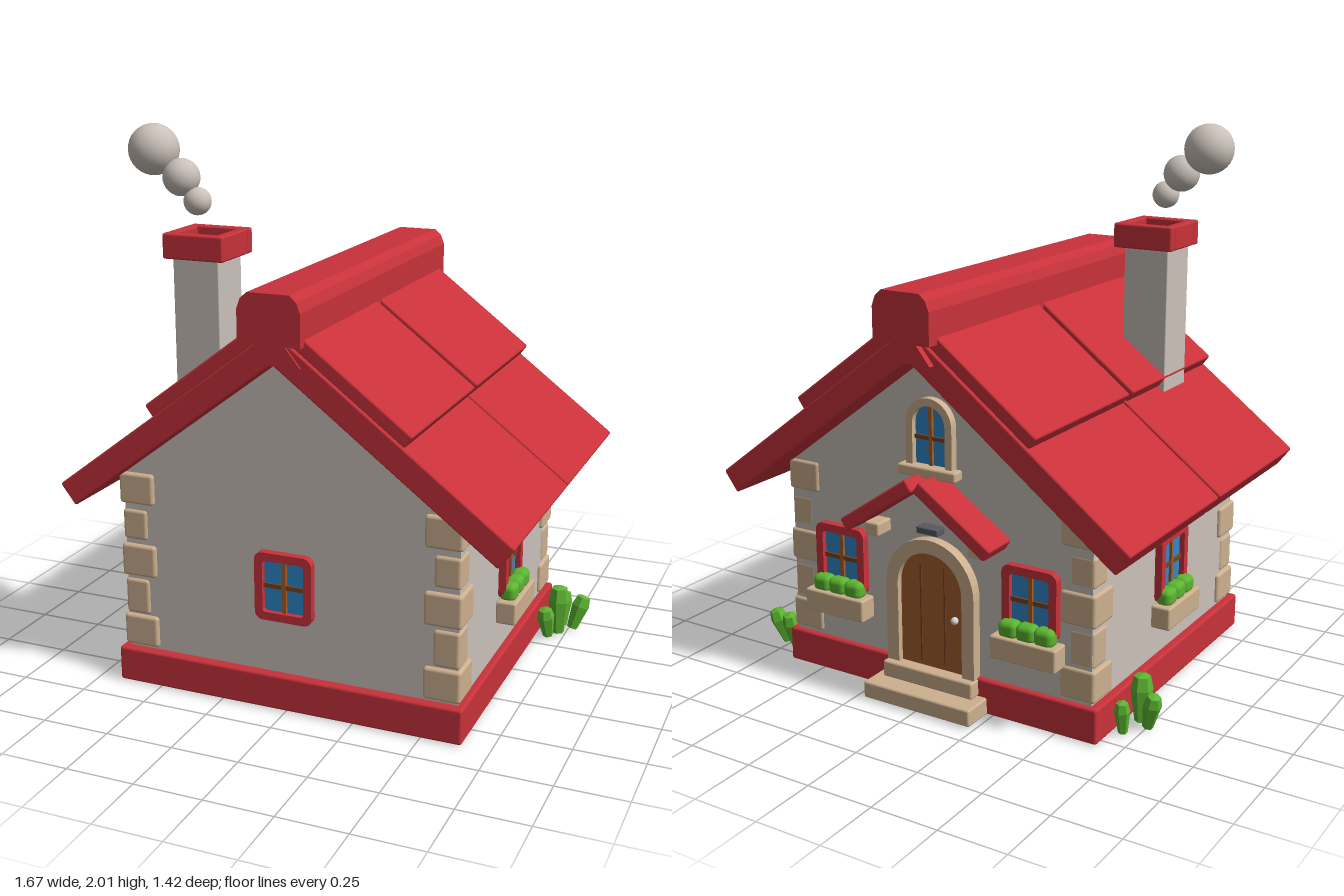
import * as THREE from 'three';
import { RoundedBoxGeometry } from 'three/addons/geometries/RoundedBoxGeometry.js';

const mat = (name, color) => Object.assign(new THREE.MeshStandardMaterial({ color }), { name });
const red = mat('red paint', 0xc8323a);
const plaster = mat('plaster', 0xcac1b9);
const stone = mat('sand stone', 0xcdb08f);
const green = mat('leaf green', 0x5cb531);
const glass = mat('window blue', 0x2f88c9);
const brown = mat('door wood', 0xa3602c);
const darkWood = mat('dark wood', 0x7a4420);
const soot = mat('soot grey', 0x555a60);
const metal = mat('pale metal', 0xd8d8d8);

const CX = -0.006; // house centre line
const BACK = -0.53, FRONT = 0.595; // gable wall planes
const PITCH = 0.648;

function add(parent, name, geometry, material, x = 0, y = 0, z = 0) {
  const m = new THREE.Mesh(geometry, material);
  m.name = name;
  m.position.set(x, y, z);
  parent.add(m);
  return m;
}

// Softened box given by its limits
function block(parent, name, material, [x0, x1], [y0, y1], [z0, z1], r = 0.008) {
  const g = new RoundedBoxGeometry(x1 - x0, y1 - y0, z1 - z0, 2, r);
  return add(parent, name, g, material, (x0 + x1) / 2, (y0 + y1) / 2, (z0 + z1) / 2);
}

const extrude = (shape, depth) =>
  new THREE.ExtrudeGeometry(shape, { depth, bevelEnabled: false, curveSegments: 12 });

function poly(points) {
  return new THREE.Shape(points.map(([x, y]) => new THREE.Vector2(x, y)));
}

function roundRect(w, h, r) {
  const s = new THREE.Shape(), a = w / 2, b = h / 2;
  s.moveTo(a, b - r).absarc(a - r, b - r, r, 0, Math.PI / 2)
    .absarc(r - a, b - r, r, Math.PI / 2, Math.PI)
    .absarc(r - a, r - b, r, Math.PI, Math.PI * 1.5)
    .absarc(a - r, r - b, r, Math.PI * 1.5, Math.PI * 2);
  s.closePath();
  return s;
}

function arch(halfWidth, height) {
  const s = new THREE.Shape();
  s.moveTo(-halfWidth, 0).lineTo(halfWidth, 0);
  s.absarc(0, height - halfWidth, halfWidth, 0, Math.PI);
  s.closePath();
  return s;
}

function withHole(outer, inner) {
  outer.holes.push(inner);
  return outer;
}

// Sloping slab that runs outward from a ridge point; side is +1 or -1
function slab(parent, name, side, ridgeY, start, length, lift, thick, [z0, z1], pitch) {
  const g = new RoundedBoxGeometry(length, thick, z1 - z0, 2, 0.008);
  g.translate(side * (start + length / 2), lift + thick / 2, 0);
  g.rotateZ(-side * pitch);
  add(parent, name, g, red, CX, ridgeY, (z0 + z1) / 2);
}

// Framed window that faces +z, with an optional planter
function makeWindow(planter) {
  const g = new THREE.Group();
  g.name = 'window';
  add(g, 'windowFrame', extrude(withHole(roundRect(0.215, 0.25, 0.03), roundRect(0.155, 0.19, 0.012)), 0.03), red);
  add(g, 'windowPane', new THREE.BoxGeometry(0.17, 0.2, 0.008), glass, 0, 0, 0.006);
  add(g, 'verticalBar', new THREE.BoxGeometry(0.016, 0.195, 0.012), brown, 0, 0, 0.014);
  add(g, 'crossBar', new THREE.BoxGeometry(0.16, 0.016, 0.01), darkWood, 0, 0, 0.013);
  if (planter) {
    block(g, 'planterBox', stone, [-0.13, 0.13], [-0.21, -0.125], [0, 0.075]);
    for (const i of [-1, 0, 1])
      block(g, 'planterLeaves', green, [i * 0.07 - 0.038, i * 0.07 + 0.038], [-0.135, -0.07], [0.004, 0.064], 0.022);
  }
  return g;
}

// Faceted upright leaves: [x, z, height, width, leanX, leanZ]
function makeBush(stalks) {
  const g = new THREE.Group();
  g.name = 'bush';
  for (const [x, z, h, r, lx, lz] of stalks) {
    const profile = [[0, 0], [0.6, 0], [1, 0.68], [0.75, 0.95], [0, 1]].map(([a, b]) => new THREE.Vector2(a * r, b * h));
    const geo = new THREE.LatheGeometry(profile, 6).toNonIndexed();
    geo.computeVertexNormals();
    add(g, 'leaf', geo, green, x, 0.004, z).rotation.set(lz, 0, -lx);
  }
  return g;
}

export function createModel() {
  const house = new THREE.Group();
  house.name = 'cottage';

  // Base and gabled walls
  block(house, 'base', red, [-0.665, 0.65], [0, 0.13], [-0.55, 0.63], 0.01);
  const wall = poly([[-0.63, 0.12], [0.63, 0.12], [0.63, 0.81], [0, 1.285], [-0.63, 0.81]]);
  add(house, 'walls', extrude(wall, FRONT - BACK), plaster, CX, 0, BACK);

  // Corner stones, alternately long and short
  const rows = [[0.14, 0.257], [0.262, 0.395], [0.41, 0.53], [0.548, 0.66], [0.685, 0.8]];
  for (const sx of [-1, 1]) for (const sz of [-1, 1]) rows.forEach(([y0, y1], i) => {
    const size = i % 2 ? 0.095 : 0.135, out = i % 2 ? 0.636 : 0.643;
    const zc = 0.037, zOut = out - 0.068;
    const span = (c, s, o) => [c + s * o, c + s * (o - size)].sort((a, b) => a - b);
    block(house, 'cornerStone', stone, span(CX, sx, out), [y0, y1], span(zc, sz, zOut), 0.012);
  });

  // Roof: two layers of panels on each slope
  for (const side of [-1, 1]) {
    for (const z of [[-0.672, 0.002], [0.014, 0.686]])
      slab(house, 'roofPanel', side, 1.27, 0, 0.98, 0, 0.094, z, PITCH);
    for (const z of [[-0.662, -0.008], [0.02, 0.676]])
      slab(house, 'upperRoofPanel', side, 1.27, 0, 0.505, 0.09, 0.052, z, PITCH);
  }
  const cap = poly([[-0.113, 1.34], [0.113, 1.34], [0.113, 1.455], [0.1, 1.49], [0.075, 1.512],
    [-0.075, 1.512], [-0.1, 1.49], [-0.113, 1.455]]);
  add(house, 'ridgeCap', extrude(cap, 1.416), red, CX, 0, -0.709);
  const support = poly([[-0.105, 1.27], [0.105, 1.27], [0.045, 1.345], [-0.045, 1.345]]);
  add(house, 'ridgeSupport', extrude(support, 1.39), red, CX, 0, -0.696);

  // Chimney with a framed top
  const chimney = new THREE.Group();
  chimney.name = 'chimney';
  house.add(chimney);
  block(chimney, 'chimneyStack', plaster, [-0.49, -0.315], [0.95, 1.56], [0.275, 0.45], 0.004);
  add(chimney, 'chimneyOpening', new THREE.BoxGeometry(0.17, 0.008, 0.17), soot, -0.402, 1.563, 0.362);
  for (const z of [0.24, 0.437])
    block(chimney, 'chimneyRim', red, [-0.518, -0.285], [1.55, 1.64], [z, z + 0.038]);
  for (const x of [-0.518, -0.323])
    block(chimney, 'chimneyRim', red, [x, x + 0.038], [1.55, 1.64], [0.277, 0.438]);
  for (const [x, y, r] of [[-0.6, 1.912, 0.09], [-0.495, 1.82, 0.066], [-0.434, 1.74, 0.049]])
    add(house, 'smokePuff', new THREE.SphereGeometry(r, 24, 16), plaster, x, y, 0.363);

  // Windows on all four walls
  const windows = [
    [CX, FRONT, 0, false],
    [CX + 0.628, 0.04, Math.PI / 2, true],
    [CX - 0.628, 0.04, -Math.PI / 2, true],
    [CX + 0.4, BACK, Math.PI, true],
    [CX - 0.4, BACK, Math.PI, true],
  ];
  for (const [x, z, turn, planter] of windows) {
    const w = makeWindow(planter);
    w.position.set(x, 0.46, z);
    w.rotation.y = turn;
    house.add(w);
  }

  // Entrance wall pieces are built facing +z and turned to the rear
  const entrance = new THREE.Group();
  entrance.name = 'entrance';
  entrance.position.set(CX, 0, BACK);
  entrance.rotation.y = Math.PI;
  house.add(entrance);
  add(entrance, 'doorFrame', extrude(withHole(arch(0.185, 0.49), arch(0.135, 0.44)), 0.04), stone, 0, 0.122, 0);
  add(entrance, 'door', extrude(arch(0.14, 0.442), 0.018), brown, 0, 0.122, 0);
  for (const x of [-0.05, 0.05])
    add(entrance, 'plankGroove', new THREE.BoxGeometry(0.006, 0.37, 0.004), darkWood, x, 0.325, 0.018);
  add(entrance, 'doorKnob', new THREE.SphereGeometry(0.014, 12, 8), metal, 0.1, 0.33, 0.03);
  block(entrance, 'lowerStep', stone, [-0.225, 0.225], [0, 0.063], [0, 0.137]);
  block(entrance, 'upperStep', stone, [-0.19, 0.19], [0.063, 0.125], [0, 0.065]);

  // Small porch roof on brackets with a lamp
  for (const side of [-1, 1]) {
    slab(house, 'porchRoof', side, 0.815, 0, 0.345, 0, 0.05, [-0.665, -0.52], 0.6);
    block(entrance, 'porchBracket', stone, [side * 0.215 - 0.03, side * 0.215 + 0.03], [0.6, 0.65], [0, 0.08]);
  }
  block(entrance, 'porchLamp', soot, [-0.045, 0.045], [0.635, 0.66], [0, 0.05], 0.005);

  // Arched attic window
  add(entrance, 'atticFrame', extrude(withHole(arch(0.095, 0.25), arch(0.067, 0.222)), 0.03), stone, 0, 0.87, 0);
  add(entrance, 'atticPane', extrude(arch(0.072, 0.227), 0.008), glass, 0, 0.87, 0);
  add(entrance, 'atticBar', new THREE.BoxGeometry(0.014, 0.22, 0.012), brown, 0, 0.98, 0.012);
  add(entrance, 'atticCrossBar', new THREE.BoxGeometry(0.135, 0.014, 0.01), darkWood, 0, 0.975, 0.011);
  block(entrance, 'atticSill', stone, [-0.12, 0.12], [0.84, 0.878], [0, 0.05]);

  // Bushes beside the base
  house.add(makeBush([
    [0.722, -0.37, 0.195, 0.042, 0, 0], [0.765, -0.43, 0.14, 0.036, 0.28, -0.2],
    [0.695, -0.325, 0.12, 0.034, -0.1, 0.15], [0.72, -0.44, 0.14, 0.034, 0, -0.25],
  ]));
  house.add(makeBush([
    [-0.715, -0.31, 0.178, 0.04, 0, 0], [-0.755, -0.34, 0.135, 0.033, -0.22, -0.1],
    [-0.7, -0.42, 0.12, 0.028, 0, -0.1],
  ]));
  return house;
}
